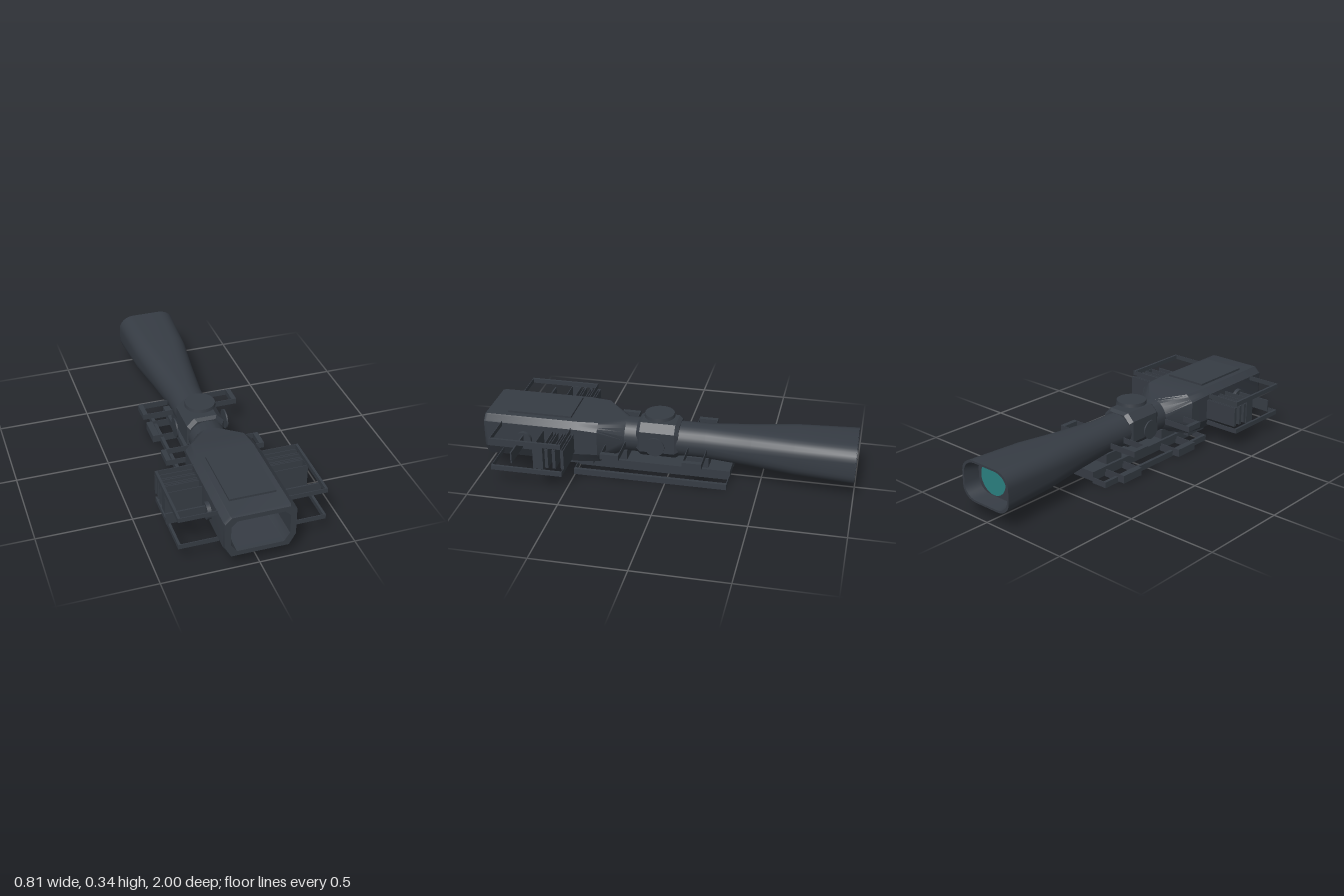
import * as THREE from 'three';
import { toCreasedNormals } from 'three/addons/utils/BufferGeometryUtils.js';

const gunmetal = new THREE.MeshStandardMaterial({ color: 0x363c44, side: THREE.DoubleSide });
gunmetal.name = 'gunmetal';
const tealGlass = new THREE.MeshStandardMaterial({ color: 0x2a8080, side: THREE.DoubleSide });
tealGlass.name = 'tealGlass';

// Rectangle outline with corners between a straight chamfer (bulge 0) and an arc (bulge 1)
function ring([z, hw, y0, y1, cx, topC, botC, bulge]) {
  const corners = [
    [hw - cx, y1 - topC, cx, topC], [-hw + cx, y1 - topC, cx, topC],
    [-hw + cx, y0 + botC, cx, botC], [hw - cx, y0 + botC, cx, botC],
  ];
  const points = [];
  const steps = 6;
  corners.forEach(([x, y, rx, ry], q) => {
    const a0 = q * Math.PI / 2, a1 = a0 + Math.PI / 2;
    for (let i = 0; i <= steps; i++) {
      const t = i / steps, a = a0 + t * Math.PI / 2;
      const c = THREE.MathUtils.lerp(Math.cos(a0) * (1 - t) + Math.cos(a1) * t, Math.cos(a), bulge);
      const s = THREE.MathUtils.lerp(Math.sin(a0) * (1 - t) + Math.sin(a1) * t, Math.sin(a), bulge);
      points.push([x + rx * c, y + ry * s, z]);
    }
  });
  return points;
}

function loft(sections, crease) {
  const rings = sections.map(ring), n = rings[0].length, index = [];
  for (let i = 0; i < rings.length - 1; i++) {
    for (let j = 0; j < n; j++) {
      const a = i * n + j, b = i * n + (j + 1) % n;
      index.push(a, b, b + n, a, b + n, a + n);
    }
  }
  const g = new THREE.BufferGeometry();
  g.setAttribute('position', new THREE.Float32BufferAttribute(rings.flat(2), 3));
  g.setIndex(index);
  return toCreasedNormals(g, crease);
}

export function createModel() {
  const model = new THREE.Group();
  model.name = 'rifleScope';

  function add(name, geometry, material = gunmetal, parent = model) {
    const mesh = new THREE.Mesh(geometry, material);
    mesh.name = name;
    parent.add(mesh);
    return mesh;
  }
  function box(name, x0, x1, y0, y1, z0, z1, parent = model) {
    const mesh = add(name, new THREE.BoxGeometry(Math.abs(x1 - x0), y1 - y0, z1 - z0), gunmetal, parent);
    mesh.position.set((x0 + x1) / 2, (y0 + y1) / 2, (z0 + z1) / 2);
    return mesh;
  }
  // U-shaped guard: an outer strip joined to the body by two thin end plates
  function guard(name, side, xIn, xOut, thick, y0, y1, z0, z1) {
    const group = new THREE.Group();
    group.name = name;
    model.add(group);
    const t = 0.004;
    box('outerStrip', side * (xOut - thick), side * xOut, y0, y1, z0, z1, group);
    box('backEnd', side * xIn, side * xOut, y0, y1, z0, z0 + t, group);
    box('frontEnd', side * xIn, side * xOut, y0, y1, z1 - t, z1, group);
  }

  // Hollow body, from the eyepiece recess over the outside into the front cavity
  // [z, half width, bottom, top, corner width, top corner, bottom corner, bulge]
  add('scopeBody', loft([
    [-0.915, 0.001, 0.197, 0.199, 0.0005, 0.0005, 0.0005, 1],
    [-0.915, 0.142, 0.106, 0.290, 0.08, 0.07, 0.07, 1],
    [-1, 0.153, 0.096, 0.299, 0.08, 0.07, 0.07, 1],
    [-1, 0.165, 0.085, 0.310, 0.085, 0.075, 0.075, 1],
    [-0.68, 0.15, 0.092, 0.304, 0.085, 0.08, 0.08, 1],
    [-0.45, 0.122, 0.099, 0.295, 0.09, 0.085, 0.085, 1],
    [-0.2, 0.097, 0.105, 0.288, 0.09, 0.088, 0.088, 1],
    [0.24, 0.097, 0.105, 0.286, 0.09, 0.088, 0.088, 1],
    [0.37, 0.178, 0.078, 0.312, 0.04, 0.04, 0.06, 0],
    [0.48, 0.184, 0.074, 0.314, 0.033, 0.033, 0.06, 0],
    [0.985, 0.185, 0.073, 0.314, 0.033, 0.033, 0.06, 0],
    [1, 0.18, 0.077, 0.310, 0.033, 0.033, 0.06, 0],
    [1, 0.15, 0.103, 0.285, 0.03, 0.03, 0.045, 0],
    [0.42, 0.145, 0.11, 0.28, 0.04, 0.04, 0.04, 0.4],
    [0.27, 0.095, 0.112, 0.282, 0.09, 0.083, 0.083, 1],
    [0.27, 0.001, 0.197, 0.199, 0.0005, 0.0005, 0.0005, 1],
  ], 0.5));

  // Eyepiece glass
  for (const [name, x, r] of [['eyepieceLens', 0.03, 0.088], ['smallLens', -0.1, 0.02]]) {
    const lens = add(name, new THREE.CircleGeometry(r, 32), tealGlass);
    lens.position.set(x, 0.2, -0.92);
    lens.rotation.y = Math.PI;
  }

  // Top panel
  box('topPanel', -0.12, 0.12, 0.305, 0.325, 0.525, 0.88);

  // Turret housing with chamfered corners, and its caps
  add('turretHousing', loft([
    [-0.055, 0.001, 0.2, 0.202, 0.0005, 0.0005, 0.0005, 0],
    [-0.055, 0.09, 0.115, 0.29, 0.04, 0.04, 0.04, 0],
    [-0.035, 0.102, 0.105, 0.302, 0.04, 0.04, 0.04, 0],
    [0.155, 0.102, 0.105, 0.302, 0.04, 0.04, 0.04, 0],
    [0.175, 0.09, 0.115, 0.29, 0.04, 0.04, 0.04, 0],
    [0.175, 0.001, 0.2, 0.202, 0.0005, 0.0005, 0.0005, 0],
  ], 0.3));
  add('topTurretCap', new THREE.CylinderGeometry(0.08, 0.083, 0.018, 32)).position.set(0, 0.33, 0.062);

  for (const side of [1, -1]) {
    const cap = add('sideTurretCap', new THREE.CylinderGeometry(0.053, 0.053, 0.008, 28));
    cap.rotation.z = Math.PI / 2;
    cap.position.set(side * 0.14, 0.2, 0.062);

    // Side knob with its slot blade
    const knob = add('sideKnob', new THREE.CylinderGeometry(0.045, 0.045, 0.03, 28));
    knob.rotation.z = Math.PI / 2;
    knob.position.set(side * 0.19, 0.197, 0.775);
    box('knobBlade', side * 0.2, side * 0.403, 0.165, 0.228, 0.771, 0.779);

    // Upper and lower guards on the front housing
    guard('upperGuard', side, 0.175, 0.38, 0.013, 0.262, 0.287, 0.51, 0.9);
    guard('lowerGuard', side, 0.175, 0.38, 0.013, 0.1, 0.126, 0.51, 0.9);

    // Grip fins
    guard('gripBlock', side, 0.178, 0.375, 0.008, 0.132, 0.26, 0.61, 0.665);
    for (const z of [0.495, 0.54, 0.58]) {
      guard('gripFin', side, 0.178, 0.378, 0.006, 0.145, 0.255, z, z + 0.017);
    }

    // Ring guards and the long rail clamp
    for (const [z0, z1] of [[0.23, 0.33], [-0.215, -0.11]]) {
      guard('ringGuard', side, 0.1, 0.268, 0.026, 0.165, 0.197, z0, z1);
    }
    guard('railClamp', side, 0.08, 0.175, 0.018, 0.003, 0.036, -0.335, 0.505);
  }

  // Clamp levers on one side only
  for (const [z0, z1] of [[0.21, 0.35], [-0.24, -0.1]]) {
    guard('clampLever', -1, 0.08, 0.218, 0.035, 0.01, 0.053, z0, z1);
  }

  // Mounting base and feet
  box('baseTop', -0.09, 0.09, 0.04, 0.07, -0.34, 0.505);
  box('baseBottom', -0.083, 0.083, 0.014, 0.04, -0.335, 0.5);
  box('baseFrontPlate', -0.12, 0.12, 0.044, 0.073, 0.41, 0.555);
  for (const [z0, z1] of [[0.23, 0.345], [-0.22, -0.1]]) {
    box('mountFoot', -0.075, 0.075, 0.065, 0.125, z0, z1);
  }

  return model;
}
